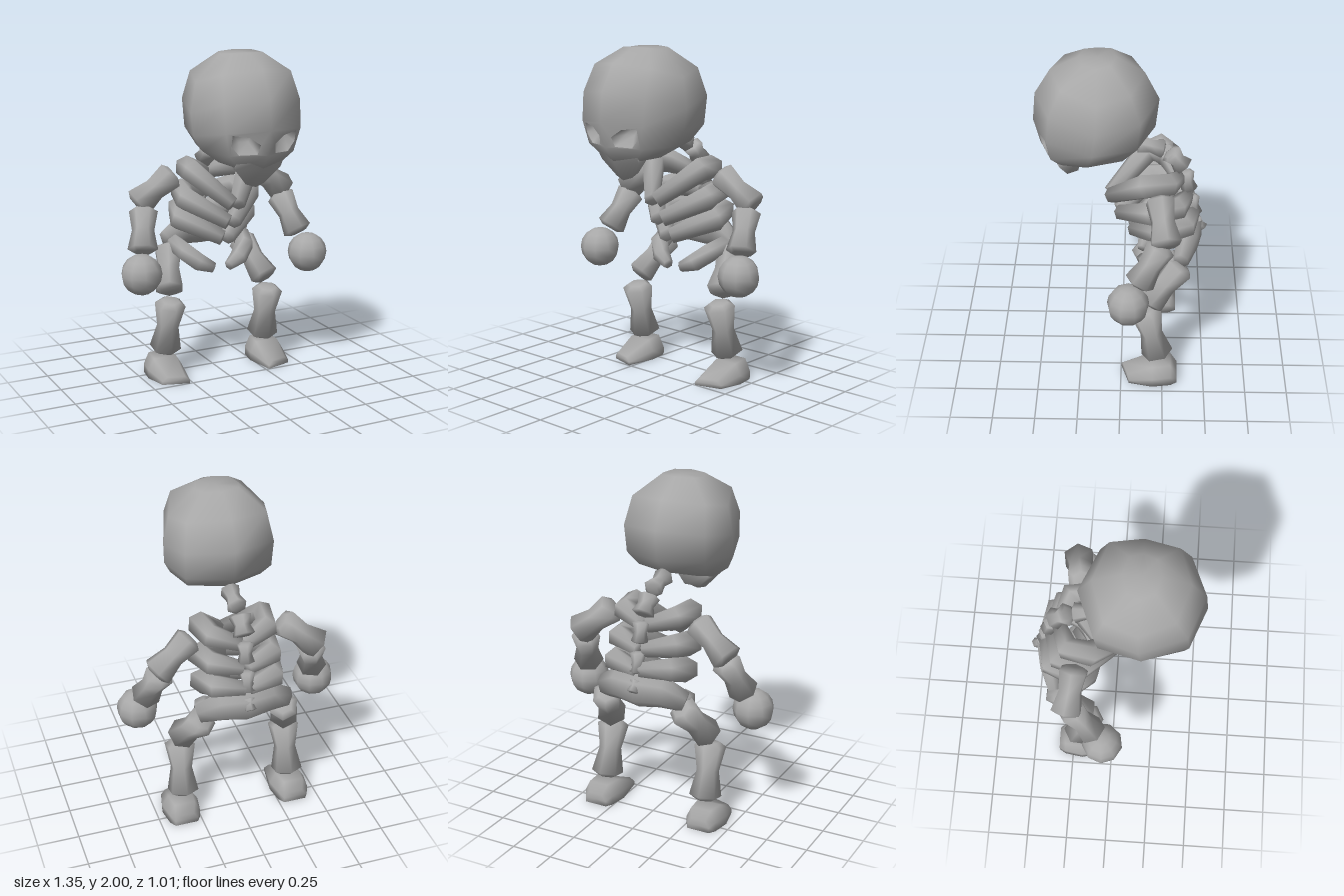
import * as THREE from 'three';
import { mergeGeometries, toCreasedNormals } from 'three/addons/utils/BufferGeometryUtils.js';

const V = (x, y, z) => new THREE.Vector3(x, y, z);
const CREASE = 1.75;

// Skin between rings of equal length (each counter-clockwise about the direction of travel)
function loft(rings, { skip = () => false, startCap = true } = {}) {
  const n = rings[0].length, verts = rings.flat(), index = [];
  for (let i = 0; i < rings.length - 1; i++) {
    for (let j = 0; j < n; j++) {
      if (skip(i, j)) continue;
      const a = i * n + j, b = i * n + (j + 1) % n;
      index.push(a, b, b + n, a, b + n, a + n);
    }
  }
  const cap = (start, flip) => {
    const centre = V(0, 0, 0), c = verts.length;
    for (let j = 0; j < n; j++) centre.addScaledVector(verts[start + j], 1 / n);
    verts.push(centre);
    for (let j = 0; j < n; j++) {
      const a = start + j, b = start + (j + 1) % n;
      index.push(...(flip ? [c, b, a] : [c, a, b]));
    }
  };
  if (startCap) cap(0, true);
  cap((rings.length - 1) * n, false);
  const geo = new THREE.BufferGeometry().setFromPoints(verts);
  geo.setIndex(index);
  return geo.toNonIndexed();
}

// Tube of varying radius along a list of points
function sweep(points, radii, sides = 6, squash = 1) {
  const dir = points.at(-1).clone().sub(points[0]).normalize();
  const ref = Math.abs(dir.y) < 0.75 ? V(0, 1, 0) : V(0, 0, 1);
  return loft(points.map((p, i) => {
    const t = points[Math.min(i + 1, points.length - 1)].clone()
      .sub(points[Math.max(i - 1, 0)]).normalize();
    const u = ref.clone().cross(t).normalize(), v = t.clone().cross(u);
    return Array.from({ length: sides }, (_, k) => {
      const a = (k + 0.5) / sides * Math.PI * 2;
      return p.clone().addScaledVector(u, Math.cos(a) * radii[i] * squash)
        .addScaledVector(v, Math.sin(a) * radii[i]);
    });
  }));
}

// Bone with a narrow waist and slightly domed ends
const bone = (a, b, r0, rm, r1) =>
  sweep([-0.05, 0.03, 0.5, 0.97, 1.05].map(t => a.clone().lerp(b, t)),
    [r0 * 0.6, r0, rm, r1, r1 * 0.6]);

export function createModel() {
  const model = new THREE.Group();
  model.name = 'skeleton';
  const boneGrey = new THREE.MeshStandardMaterial({ color: 0xa8a8a8 });
  boneGrey.name = 'boneGrey';
  const add = (name, geo) => {
    const mesh = new THREE.Mesh(toCreasedNormals(geo, CREASE), boneGrey);
    mesh.name = name;
    model.add(mesh);
  };

  // Skull rings: [back z, back y, front z, front y, half width, side y], bottom to top
  const skullRings = [
    [-0.01, 1.44, 0.405, 1.37, 0.17, 1.385],
    [-0.09, 1.465, 0.468, 1.455, 0.268, 1.455],
    [-0.19, 1.56, 0.505, 1.60, 0.31, 1.54],
    [-0.21, 1.74, 0.49, 1.77, 0.317, 1.67],
    [-0.13, 1.90, 0.40, 1.92, 0.285, 1.84],
    [0.03, 2.0, 0.24, 2.0, 0.13, 1.99],
  ].map(([zb, yb, zf, yf, w, ys]) => {
    const at = (x, t, y) => V(x * w, y, zb + (zf - zb) * t);
    const yFront = yf * 0.75 + ys * 0.25, yBack = yb * 0.7 + ys * 0.3;
    return [at(0, 1, yf), at(0.75, 0.87, yFront), at(1, 0.5, ys), at(0.82, 0.15, yBack),
      at(0, 0, yb), at(-0.82, 0.15, yBack), at(-1, 0.5, ys), at(-0.75, 0.87, yFront)];
  });
  const skullParts = [loft(skullRings, { skip: (i, j) => i === 1 && (j === 0 || j === 7) })];

  // Eye sockets: a face panel with a hole, and a recess behind it
  const eyeOutline = [[0.28, 0.06], [0.76, 0.04], [0.92, 0.45], [0.86, 0.92], [0.48, 0.78], [0.21, 0.45]];
  for (const [j, name] of [[0, 'leftEyeSocket'], [7, 'rightEyeSocket']]) {
    const k = (j + 1) % 8, [, low, high] = skullRings;
    const onFace = (u, v) => low[j].clone().lerp(low[k], u)
      .lerp(high[j].clone().lerp(high[k], u), v);
    const outline = j === 0 ? eyeOutline : eyeOutline.map(([u, v]) => [1 - u, v]).reverse();

    const panel = new THREE.Shape([[0, 0], [1, 0], [1, 1], [0, 1]].map(p => new THREE.Vector2(...p)));
    panel.holes.push(new THREE.Path(outline.map(p => new THREE.Vector2(...p))));
    const geo = new THREE.ShapeGeometry(panel).toNonIndexed();
    geo.deleteAttribute('uv');
    geo.deleteAttribute('normal');
    const pos = geo.attributes.position;
    for (let i = 0; i < pos.count; i++) {
      const p = onFace(pos.getX(i), pos.getY(i));
      pos.setXYZ(i, p.x, p.y, p.z);
    }
    skullParts.push(geo);

    const rim = outline.map(([u, v]) => onFace(u, v));
    const centre = onFace(0.5, 0.5);
    const deep = rim.map(p => p.clone().lerp(centre, 0.5).add(V(0, 0.035, -0.06)));
    add(name, loft([rim, deep], { startCap: false }));
  }
  add('skull', mergeGeometries(skullParts));

  // Tapered jaw: [front y, z, corner half width, y, z, back half width, y, z]
  add('jaw', loft([
    [1.25, 0.325, 0.06, 1.27, 0.315, 0.05, 1.29, 0.25],
    [1.36, 0.4, 0.145, 1.365, 0.35, 0.12, 1.37, 0.262],
    [1.43, 0.44, 0.15, 1.425, 0.38, 0.1, 1.42, 0.25],
  ].map(([y, z, w, cy, cz, bw, by, bz]) =>
    [V(0, y, z), V(w, cy, cz), V(bw, by, bz), V(-bw, by, bz), V(-w, cy, cz)])));

  // Spine: [start y, start z, end y, end z, radius]
  [
    [1.445, -0.10, 1.41, -0.235, 0.06],
    [1.38, -0.28, 1.295, -0.355, 0.066],
    [1.25, -0.37, 1.14, -0.395, 0.05],
    [1.08, -0.41, 0.97, -0.43, 0.046],
    [0.92, -0.44, 0.865, -0.48, 0.035],
  ].forEach(([y0, z0, y1, z1, r], i) =>
    add(`vertebra${i + 1}`, bone(V(0, y0, z0), V(0, y1, z1), r, r * 0.7, r)));

  // Pelvis arching across the back
  add('pelvis', sweep([V(-0.27, 0.81, -0.35), V(-0.14, 0.86, -0.385), V(0, 0.86, -0.41),
    V(0.14, 0.86, -0.385), V(0.27, 0.81, -0.35)], [0.065, 0.1, 0.11, 0.1, 0.065], 6, 0.7));

  for (const [s, side] of [[1, 'left'], [-1, 'right']]) {
    const P = (x, y, z) => V(s * x, y, z);

    // Ribs: spine, back corner, side corner, breast
    [
      [P(0.01, 1.22, -0.33), P(0.165, 1.27, -0.265), P(0.19, 1.275, -0.14), P(0.015, 1.095, 0.065)],
      [P(0.01, 1.09, -0.38), P(0.175, 1.12, -0.32), P(0.21, 1.1, -0.18), P(0.015, 0.975, 0.01)],
      [P(0.01, 0.98, -0.42), P(0.175, 0.995, -0.37), P(0.22, 0.965, -0.25), P(0.015, 0.86, -0.07)],
    ].forEach((path, i) =>
      add(`${side}Rib${i + 1}`, sweep(path, [0.045, 0.072, 0.075, 0.048])));

    // Hip horn curling forward
    add(`${side}HipHorn`, sweep([P(0.23, 0.8, -0.32), P(0.2, 0.76, -0.21), P(0.13, 0.7, -0.15),
      P(0.05, 0.665, -0.12)], [0.055, 0.06, 0.054, 0.032]));

    // Arm
    add(`${side}UpperArm`, bone(P(0.28, 1.245, -0.22), P(0.485, 1.08, -0.255), 0.088, 0.07, 0.097));
    add(`${side}Forearm`, bone(P(0.46, 1.045, -0.23), P(0.52, 0.835, -0.105), 0.086, 0.066, 0.09));
    const hand = new THREE.Mesh(new THREE.SphereGeometry(0.122, 9, 8), boneGrey);
    hand.name = `${side}Hand`;
    hand.position.copy(P(0.555, 0.71, -0.045));
    model.add(hand);

    // Leg
    add(`${side}Thigh`, bone(P(0.25, 0.755, -0.35), P(0.325, 0.55, -0.17), 0.09, 0.07, 0.092));
    add(`${side}Shin`, bone(P(0.33, 0.475, -0.145), P(0.335, 0.165, -0.22), 0.094, 0.066, 0.096));

    // Foot sections, heel to toe: [z, half width, height, backward slant of the outer edge]
    add(`${side}Foot`, loft([[-0.34, 0.07, 0.07, 0], [-0.3, 0.095, 0.125, 0], [-0.19, 0.112, 0.118, 0], [-0.025, 0.08, 0.045, 0.3]]
      .map(([z, w, h, slant]) => [[w, 0], [w, h * 0.45], [w * 0.65, h], [-w * 0.65, h], [-w, h * 0.45], [-w, 0]]
        .map(([x, y]) => V(s * 0.35 + x, y, z - s * x * slant)))));
  }
  return model;
}
